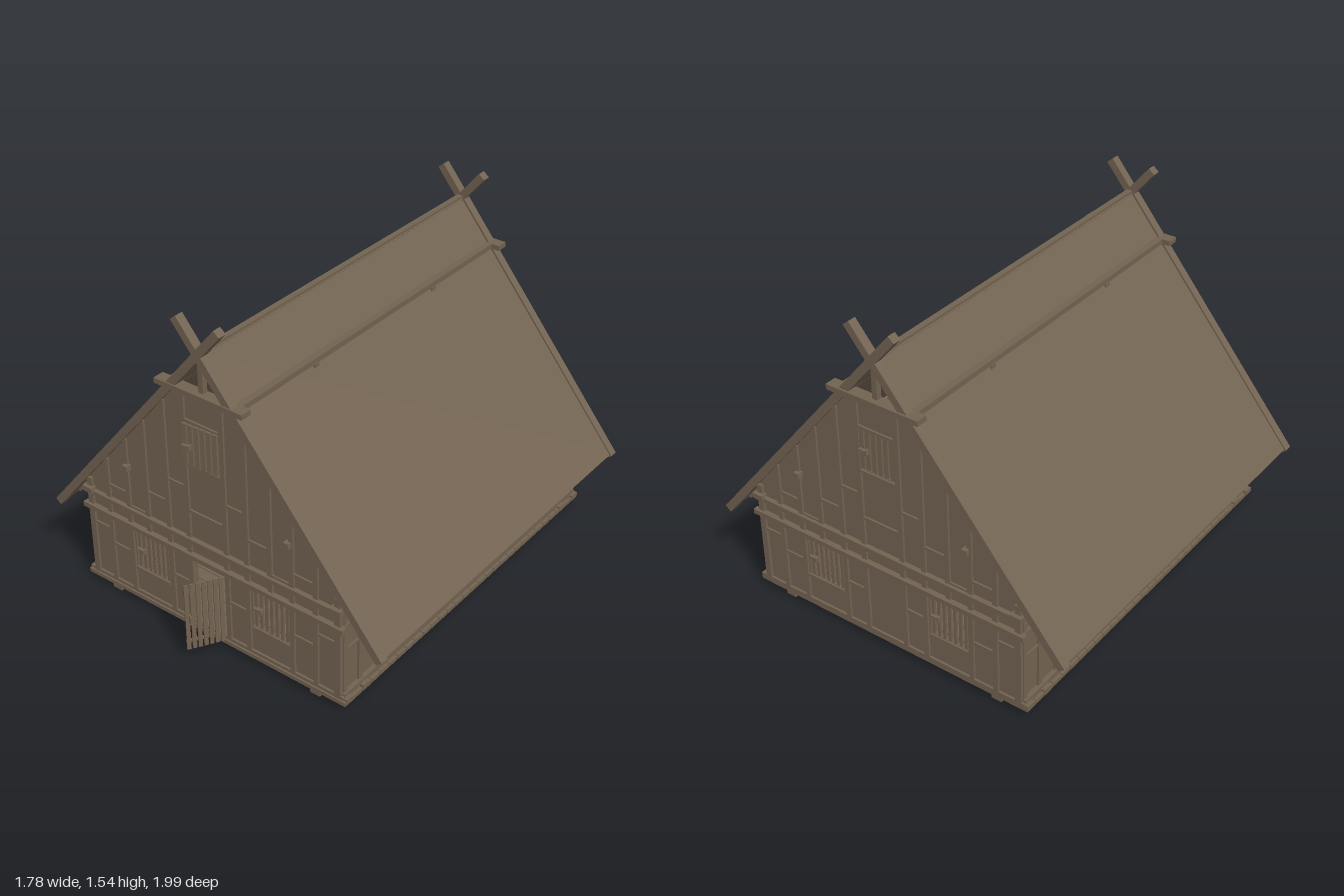
import * as THREE from 'three';

export function createModel() {
  const house = new THREE.Group();
  house.name = 'timberHouse';
  const wood = new THREE.MeshStandardMaterial({ color: 0x726351 });
  wood.name = 'weathered wood';

  const FRONT = 0.825, BACK = -0.97, SIDE = 0.68, MID = (FRONT + BACK) / 2;
  const add = (name, geo, parent = house) => {
    const m = new THREE.Mesh(geo, wood);
    m.name = name;
    parent.add(m);
    return m;
  };
  // box given by its minimum and maximum corners
  const box = (name, x0, x1, y0, y1, z0, z1, parent) => {
    const m = add(name, new THREE.BoxGeometry(x1 - x0, y1 - y0, z1 - z0), parent);
    m.position.set((x0 + x1) / 2, (y0 + y1) / 2, (z0 + z1) / 2);
    return m;
  };
  // sloping board whose upper face runs from a to b, thickness t below it
  const slope = (name, a, b, t, z0, z1, side) => {
    const dx = b[0] - a[0], dy = b[1] - a[1], len = Math.hypot(dx, dy);
    const m = add(name, new THREE.BoxGeometry(len, t, z1 - z0));
    m.position.set(side * ((a[0] + b[0]) / 2 - dy / len * t / 2), (a[1] + b[1]) / 2 + dx / len * t / 2, (z0 + z1) / 2);
    m.rotation.z = side * Math.atan2(dy, dx);
    return m;
  };
  // wall panel in its own xy plane, outer face at z = 0, with rectangular openings
  const panel = (name, pts, holes, parent) => {
    const shape = new THREE.Shape(pts.map(p => new THREE.Vector2(...p)));
    for (const [x0, x1, y0, y1] of holes) {
      shape.holes.push(new THREE.Path([[x0, y0], [x0, y1], [x1, y1], [x1, y0]].map(p => new THREE.Vector2(...p))));
    }
    const geo = new THREE.ExtrudeGeometry(shape, { depth: 0.025, bevelEnabled: false });
    geo.translate(0, 0, -0.025);
    return add(name, geo, parent);
  };
  // slatted shutter made of upright slats, two rails and a latch
  const shutter = (name, x0, x1, y0, y1, slats, fill, parent) => {
    const g = new THREE.Group();
    g.name = name;
    parent.add(g);
    const step = (x1 - x0) / slats;
    for (let i = 0; i < slats; i++) {
      const c = x0 + step * (i + 0.5), h = step * fill / 2;
      box('slat', c - h, c + h, y0, y1, -0.012, -0.002, g);
    }
    for (const y of [y0 + 0.015, y1 - 0.025]) box('rail', x0, x1, y, y + 0.012, -0.022, -0.012, g);
    const ym = (y0 + y1) / 2;
    box('latch', x0 + 0.01, x0 + 0.055, ym - 0.004, ym + 0.004, 0, 0.014, g);
    box('latchPeg', x0 + 0.045, x0 + 0.055, ym - 0.012, ym + 0.012, 0, 0.02, g);
    return g;
  };

  // runners and floor planks
  for (const x of [-0.555, 0.555]) box('runner', x - 0.025, x + 0.025, 0, 0.026, BACK, 0.835);
  const planks = 30, pw = (0.845 + 0.98) / planks;
  for (let i = 0; i < planks; i++) {
    const z = -0.98 + i * pw;
    box('floorPlank', -0.715, 0.715, 0.026, 0.045, z + 0.002, z + pw - 0.002);
  }

  // gable walls, front and back
  const gableWall = (name, hasDoor) => {
    const g = new THREE.Group();
    g.name = name;
    house.add(g);
    const holes = [[-0.42, -0.23, 0.19, 0.39], [0.23, 0.42, 0.19, 0.39], [-0.09, 0.09, 0.87, 1.07]];
    if (hasDoor) holes.push([-0.09, 0.09, 0.05, 0.385]);
    panel('gablePanel', [[-SIDE, 0.045], [SIDE, 0.045], [SIDE, 0.56], [0.165, 1.18], [-0.165, 1.18], [-SIDE, 0.56]], holes, g);
    for (const s of [-1, 1]) {
      box('cornerPost', s * 0.67 - 0.015, s * 0.67 + 0.015, 0.045, 0.55, -0.03, 0.012, g);
      for (const x of [0.56, 0.44, 0.33, 0.21, 0.1]) {
        const c = s * x;
        if (x !== 0.33) box('lowerStud', c - 0.012, c + 0.012, 0.045, 0.4, 0, 0.01, g);
        box('upperStud', c - 0.012, c + 0.012, 0.41, Math.min(1.19, 1.375 - x * 1.21), 0, 0.01, g);
      }
      // short rails between studs
      for (const [a, b, y] of [[0.56, 0.66, 0.32], [0.44, 0.56, 0.25], [0.1, 0.21, 0.25], [0.23, 0.43, 0.18],
        [0.44, 0.56, 0.56], [0.33, 0.44, 0.5], [0.21, 0.33, 0.62], [0.1, 0.21, 0.74]]) {
        const c = s * (a + b) / 2, h = (b - a) / 2;
        box('shortRail', c - h, c + h, y - 0.007, y + 0.007, 0, 0.008, g);
      }
      box('purlinEnd', s * 0.43 - 0.013, s * 0.43 + 0.013, 0.692, 0.718, -0.03, 0.028, g);
      box('plateEnd', s * 0.67 - 0.027, s * 0.67 + 0.027, 0.485, 0.51, -0.03, 0.03, g);
      shutter('windowShutter', s > 0 ? 0.23 : -0.42, s > 0 ? 0.42 : -0.23, 0.19, 0.39, 7, 0.55, g);
    }
    for (const y of [0.63, 0.86, 1.07]) box('hatchRail', -0.1, 0.1, y - 0.007, y + 0.007, 0, 0.009, g);
    box('lowerBand', -0.705, 0.705, 0.395, 0.418, 0, 0.025, g);
    box('upperBand', -0.69, 0.69, 0.475, 0.497, 0, 0.022, g);
    box('sillBeam', -0.7, 0.7, 0.045, 0.06, -0.03, 0.01, g);
    const hatch = shutter('hatchShutter', 0, 0.18, 0.88, 1.07, 6, 0.75, g);
    hatch.position.set(-0.09, 0, 0.01);
    if (hasDoor) {
      hatch.position.set(-0.09, 0, 0.032);
      hatch.rotation.y = 0.06;
    }
    // open smoke vent at the top
    box('collarBeam', -0.225, 0.225, 1.198, 1.222, -0.03, 0.024, g);
    box('kingPost', -0.012, 0.012, 1.2, 1.4, -0.025, 0, g);
    return g;
  };
  const front = gableWall('frontWall', true);
  front.position.z = FRONT;
  const back = gableWall('backWall', false);
  back.rotation.y = Math.PI;
  back.position.z = BACK;

  // open slatted door
  const door = new THREE.Group();
  door.name = 'door';
  house.add(door);
  for (let i = 0; i < 7; i++) box('doorSlat', i * 0.025, i * 0.025 + 0.018, 0.05, 0.385, -0.004, 0.004, door);
  for (const y of [0.08, 0.21, 0.34]) box('doorRail', 0, 0.168, y, y + 0.016, 0.004, 0.011, door);
  box('doorHandle', 0.145, 0.153, 0.19, 0.23, -0.02, -0.004, door);
  door.position.set(0.088, 0, 0.845);
  door.rotation.y = -Math.PI + Math.atan2(0.148, 0.088);
  door.rotation.y = -(Math.PI - Math.atan2(0.148, 0.088));

  // side walls: local x runs along the length of the house
  const windows = [[-0.475, -0.26], [-0.01, 0.155], [0.41, 0.625]];
  const sideWall = (name, s) => {
    const g = new THREE.Group();
    g.name = name;
    house.add(g);
    g.position.x = s * SIDE;
    g.rotation.y = s * Math.PI / 2;
    const k = v => s * v; // keeps window places equal on both sides
    const span = (a, b) => [Math.min(k(a), k(b)), Math.max(k(a), k(b))];
    const [w0, w1] = span(-FRONT, -BACK);
    const holes = windows.map(w => [...span(...w), 0.19, 0.39]);
    panel('sidePanel', [[w0, 0.045], [w1, 0.045], [w1, 0.55], [w0, 0.55]], holes, g);
    for (const z of [0.805, 0.705, 0.59, 0.49, 0.245, 0.145, 0.025, -0.175, -0.295, -0.4, -0.64, -0.74, -0.855, -0.955]) {
      box('sideStud', k(-z) - 0.012, k(-z) + 0.012, 0.045, 0.55, 0, 0.01, g);
    }
    for (const [a, b, y] of [[0.705, 0.805, 0.28], [0.59, 0.705, 0.25], [0.145, 0.245, 0.22], [-0.295, -0.175, 0.23],
      [-0.4, -0.295, 0.31], [-0.74, -0.64, 0.31], [-0.855, -0.74, 0.25], [-0.955, -0.855, 0.28]]) {
      const [p, q] = span(-a, -b);
      box('shortRail', p, q, y - 0.007, y + 0.007, 0, 0.008, g);
    }
    box('sideSill', w0, w1, 0.045, 0.07, -0.02, 0.02, g);
    box('sideBand', w0, w1, 0.395, 0.418, 0, 0.015, g);
    for (const z of [0.7, 0.81, -0.84, -0.955]) {
      box('sillBlock', k(-z) - 0.022, k(-z) + 0.022, 0.03, 0.055, 0, 0.038, g);
    }
    windows.forEach((w, i) => {
      const [a, b] = span(...w);
      shutter('sideShutter', a, b, 0.19, 0.39, 7, 0.6, g);
      if (i === 1) {
        box('windowSill', a - 0.01, b + 0.01, 0.182, 0.195, 0, 0.012, g);
        return;
      }
      box('shelf', a - 0.01, b + 0.01, 0.18, 0.192, 0, 0.055, g);
      for (const x of [a + 0.1 * (b - a) / 0.2, b - 0.01, a + 0.01]) {
        const brace = box('shelfBrace', x - 0.005, x + 0.005, 0.113, 0.193, 0.021, 0.029, g);
        brace.rotation.x = 0.72;
      }
    });
  };
  sideWall('leftWall', 1);
  sideWall('rightWall', -1);

  // roof slabs, lining under the eaves, crossed gable boards and purlins
  for (const s of [-1, 1]) {
    slope('roofSlab', [0.88, 0.352], [0, 1.408], 0.022, -0.975, 0.835, s);
    slope('eaveLining', [0.775, 0.428], [0.655, 0.575], 0.012, -0.95, 0.81, s);
    for (const [z0, z1] of [[0.803, 0.843], [-0.985, -0.945]]) {
      slope('gableBoard', [0.89, 0.35], [-0.095, 1.538], 0.036, z0, z1, s);
    }
    box('ventPurlin', s * 0.166 - 0.02, s * 0.166 + 0.02, 1.197, 1.222, -0.98, 0.84);
    for (const z of [0.345, -0.475]) box('purlinPeg', s * 0.175 - 0.015, s * 0.175 + 0.015, 1.182, 1.198, z - 0.015, z + 0.015);
  }
  box('ridgePole', -0.013, 0.013, 1.375, 1.41, -0.98, 0.838);
  house.updateMatrixWorld(true);
  return house;
}
